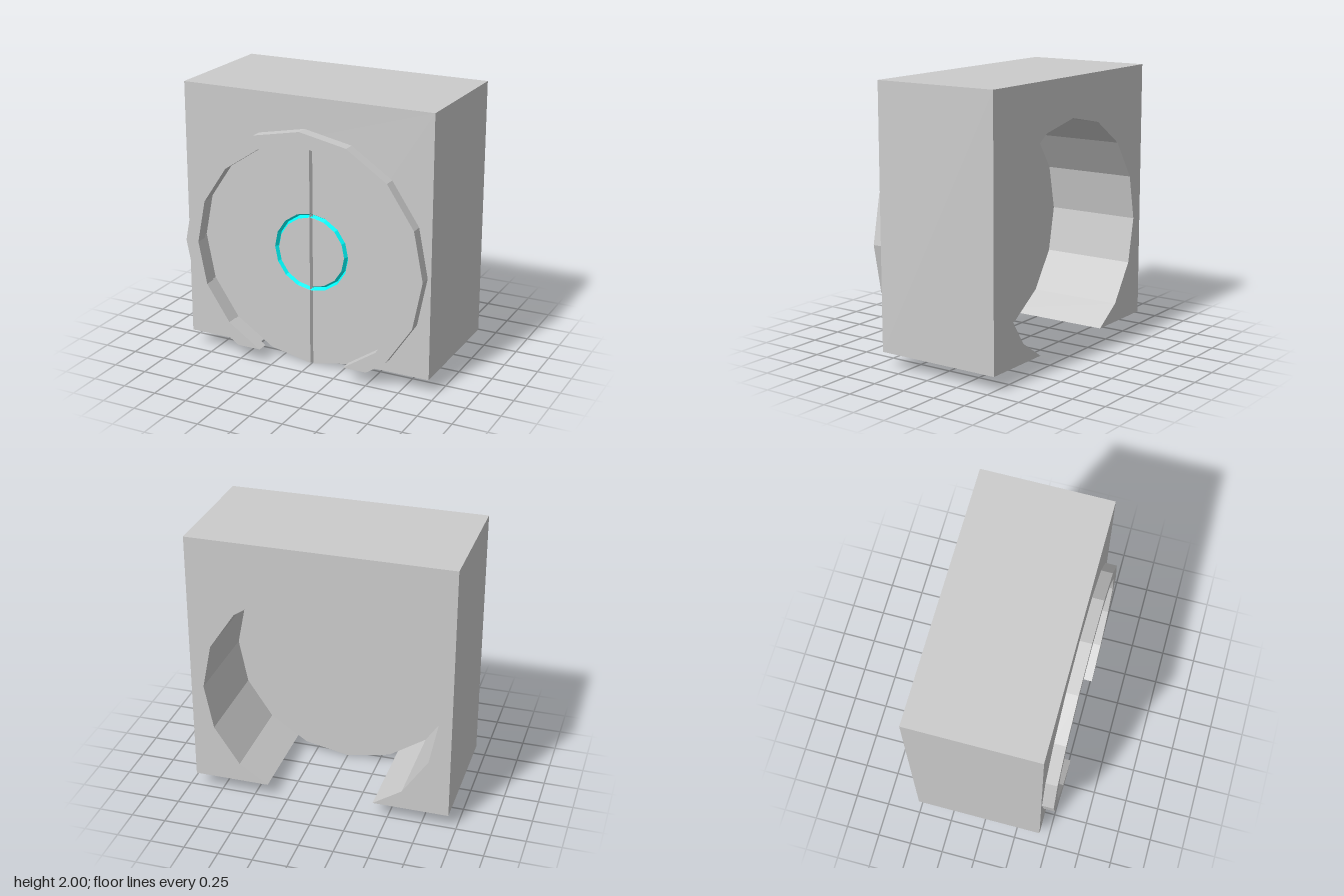
import * as THREE from 'three';

const CY = 0.855;        // centre height of the round doorway
const FLOOR = 0.11;      // underside of the wall block
const SIDES = 16;
const SLIT = 0.012;      // half width of the centre seam
const DOOR_BACK = 0.195, DOOR_FRONT = 0.345, GROOVE = 0.03;

const grey = new THREE.MeshStandardMaterial({ color: 0xcccccc, flatShading: true });
const greyThin = new THREE.MeshStandardMaterial({ color: 0xcccccc, flatShading: true, side: THREE.DoubleSide });
const cyan = new THREE.MeshStandardMaterial({ color: 0x00ffff, flatShading: true, side: THREE.DoubleSide });

// Corner i of the 16-sided circle, counted from the +x side
function corner(r, i) {
  const a = (i / SIDES) * Math.PI * 2;
  return new THREE.Vector2(r * Math.cos(a), CY + r * Math.sin(a));
}

function corners(r, from, to) {
  const pts = [];
  for (let i = from; i <= to; i++) pts.push(corner(r, i));
  return pts;
}

// Circle outline cut off level with the underside of the wall
function openArc(r) {
  const a = corner(r, -2), b = corner(r, -3);
  const cut = a.clone().lerp(b, (a.y - FLOOR) / (a.y - b.y));
  return [cut, ...corners(r, -2, 10), new THREE.Vector2(-cut.x, cut.y)];
}

// Half circle on one side of the seam
function halfArc(r, side) {
  return corners(r, -4, 4).map(p => new THREE.Vector2(side * Math.max(p.x, SLIT), p.y));
}

function slab(name, points, z0, z1) {
  const geo = new THREE.ExtrudeGeometry(new THREE.Shape(points), { depth: z1 - z0, bevelEnabled: false });
  geo.translate(0, 0, z0);
  const mesh = new THREE.Mesh(geo, grey);
  mesh.name = name;
  return mesh;
}

export function createModel() {
  const model = new THREE.Group();
  model.name = 'roundDoorway';

  // Wall block with the round passage
  const v = (x, y) => new THREE.Vector2(x, y);
  model.add(slab('wall', [
    ...openArc(0.855),
    v(-0.945, FLOOR), v(-0.945, 2), v(0.945, 2), v(0.945, FLOOR),
  ], -0.515, 0.43));

  // Raised trim round the opening
  model.add(slab('doorTrim', [...openArc(0.92), ...openArc(0.82).reverse()], 0.43, 0.515));

  // Door: backing disc, then split front plates that leave the grooves open
  const door = new THREE.Group();
  door.name = 'door';
  door.add(slab('doorBacking', corners(0.855, 0, SIDES - 1), DOOR_BACK, DOOR_FRONT - GROOVE));
  for (const side of [1, -1]) {
    const label = side > 0 ? 'left' : 'right';
    door.add(slab(label + 'DoorPanel',
      [...halfArc(0.855, side), ...halfArc(0.288, side).reverse()], DOOR_FRONT - GROOVE, DOOR_FRONT));
    door.add(slab(label + 'DoorCentre', halfArc(0.256, side), DOOR_FRONT - GROOVE, DOOR_FRONT));

    // Sloping wall of the V-shaped centre seam
    const wall = new THREE.PlaneGeometry(1, 1.71);
    const pos = wall.attributes.position;
    for (let i = 0; i < pos.count; i++) {
      const outer = pos.getX(i) > 0;
      pos.setXYZ(i, outer ? side * SLIT : 0, pos.getY(i) + CY, DOOR_FRONT - (outer ? 0 : GROOVE));
    }
    wall.computeVertexNormals();
    const seam = new THREE.Mesh(wall, greyThin);
    seam.name = label + 'SeamWall';
    door.add(seam);
  }

  // Coloured V-shaped ring groove
  const ringGeo = new THREE.LatheGeometry([v(0.288, 0), v(0.272, -GROOVE), v(0.256, 0)], SIDES);
  ringGeo.rotateX(Math.PI / 2).translate(0, CY, DOOR_FRONT);
  const ring = new THREE.Mesh(ringGeo, cyan);
  ring.name = 'ringGroove';
  door.add(ring);

  model.add(door);
  return model;
}
